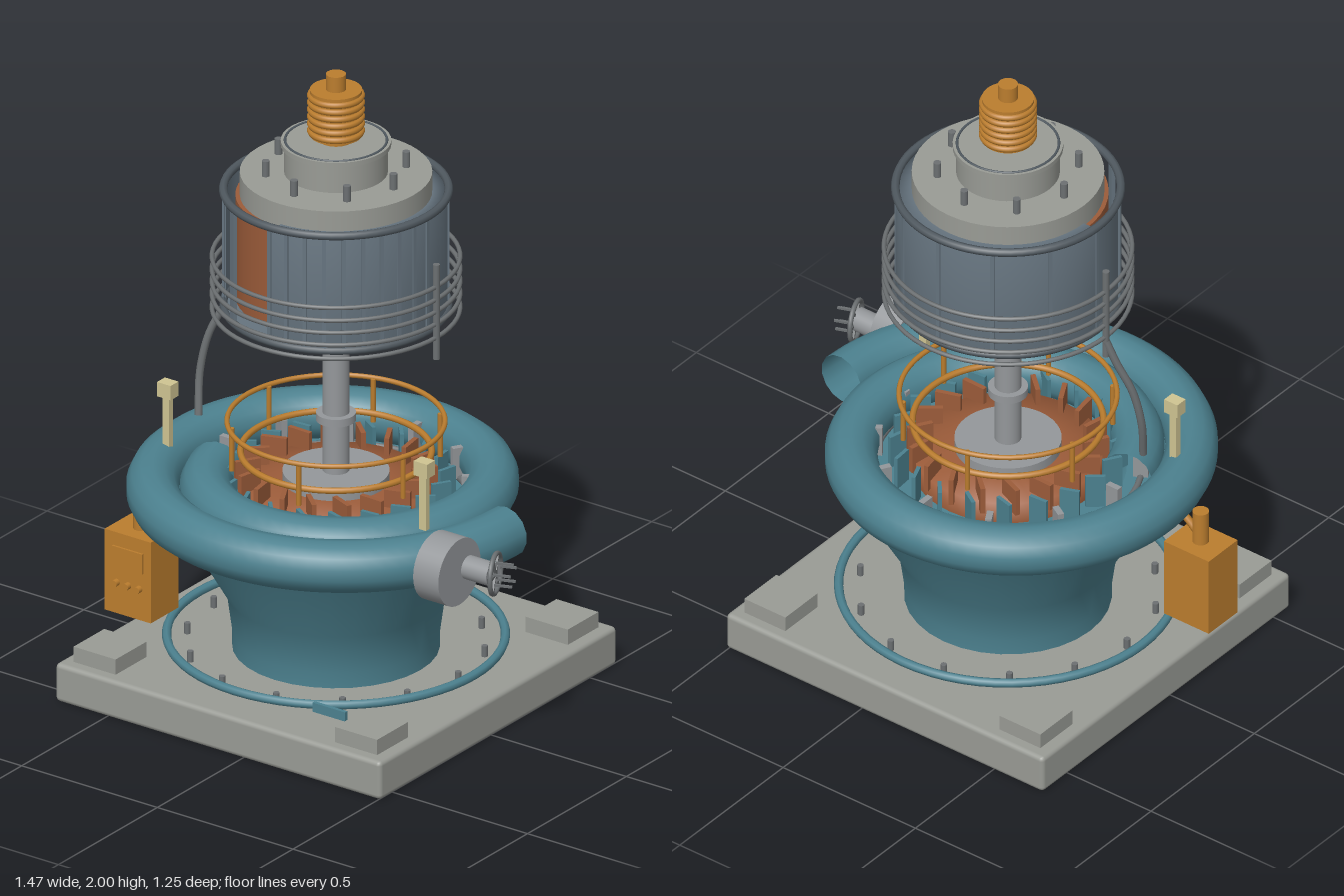
import * as THREE from 'three';
import { RoundedBoxGeometry } from 'three/addons/geometries/RoundedBoxGeometry.js';

const mat = (name, color, side = THREE.FrontSide) => {
  const m = new THREE.MeshStandardMaterial({ color, side });
  m.name = name;
  return m;
};

export function createModel() {
  const D = THREE.DoubleSide;
  const concrete = mat('concrete', 0x999b95);
  const steel = mat('steel', 0x94979a, D);
  const pipeGrey = mat('pipe grey', 0x6c7072);
  const teal = mat('teal paint', 0x4c818f, D);
  const blueGrey = mat('blue grey', 0x66747f, D);
  const rimDark = mat('dark rim', 0x505960);
  const orange = mat('orange', 0xbb7d2e);
  const copper = mat('copper', 0x9c5c3a, D);
  const beige = mat('beige', 0xcfc492);

  const model = new THREE.Group();
  const turbine = new THREE.Group(); // everything around the main axis
  turbine.name = 'turbine';
  turbine.position.set(-0.09, 0, -0.027);
  model.add(turbine);

  const add = (parent, name, geo, m, x = 0, y = 0, z = 0) => {
    const mesh = new THREE.Mesh(geo, m);
    mesh.name = name;
    mesh.position.set(x, y, z);
    parent.add(mesh);
    return mesh;
  };
  const box = (p, n, w, h, d, m, x, y, z) => add(p, n, new THREE.BoxGeometry(w, h, d), m, x, y, z);
  // vertical cylinder between two heights
  const cyl = (p, n, r, y0, y1, m, x = 0, z = 0, seg = 40) =>
    add(p, n, new THREE.CylinderGeometry(r, r, y1 - y0, seg), m, x, (y0 + y1) / 2, z);
  // horizontal ring
  const ring = (n, r, t, y, m) => {
    const g = new THREE.TorusGeometry(r, t, 8, 64);
    g.rotateX(Math.PI / 2);
    return add(turbine, n, g, m, 0, y, 0);
  };
  const lathe = (n, pts, m, seg = 40, start = 0, len = Math.PI * 2) =>
    add(turbine, n, new THREE.LatheGeometry(pts.map(p => new THREE.Vector2(...p)), seg, start, len), m);
  const tube = (p, n, pts, r, m, seg = 24) => add(p, n, new THREE.TubeGeometry(
    new THREE.CatmullRomCurve3(pts.map(q => new THREE.Vector3(...q))), seg, r, 8), m);
  const around = (count, r, fn, offset = 0) => {
    for (let i = 0; i < count; i++) {
      const a = offset + i / count * Math.PI * 2;
      fn(Math.sin(a) * r, Math.cos(a) * r, a);
    }
  };

  // Foundation slab, corner pads, floor ring
  add(turbine, 'foundation', new RoundedBoxGeometry(1.2, 0.125, 1.2, 2, 0.015), concrete, 0, 0.0625, 0);
  for (const sx of [-1, 1]) for (const sz of [-1, 1])
    box(turbine, 'cornerPad', 0.155, 0.05, 0.155, concrete, sx * 0.482, 0.15, sz * 0.482);
  ring('floorRing', 0.505, 0.014, 0.161, teal);
  around(14, 0.45, (x, z) => cyl(turbine, 'floorBolt', 0.01, 0.12, 0.16, pipeGrey, x, z, 8), Math.PI / 14);
  box(turbine, 'floorRingTail', 0.12, 0.03, 0.012, teal, 0.34, 0.185, 0.497);

  // Draft cone
  lathe('draftCone', [[0.31, 0.125], [0.31, 0.175], [0.327, 0.3], [0.49, 0.585]], teal, 32);
  lathe('casingFloor', [[0.2, 0.58], [0.5, 0.585]], teal, 48);

  // Spiral casing: one and a half turns of open pipe
  const path = [];
  for (let i = 0; i <= 60; i++) {
    const t = 0.3 + (Math.PI * 3 + 0.04 - 0.3) * i / 60;
    const r = 0.37 + 0.04 * t / (Math.PI / 2);
    path.push(new THREE.Vector3(-Math.cos(t) * r, 0.655, Math.sin(t) * r));
  }
  add(turbine, 'spiralCasing',
    new THREE.TubeGeometry(new THREE.CatmullRomCurve3(path), 110, 0.08, 14), teal);

  // Stay vanes, guide vanes and runner inside the casing
  ring('stayRing', 0.4, 0.01, 0.6, pipeGrey);
  around(12, 0.4, (x, z, a) => {
    box(turbine, 'stayVane', 0.02, 0.1, 0.045, steel, x, 0.65, z).rotation.y = a;
  });
  around(20, 0.33, (x, z, a) => {
    box(turbine, 'guideVane', 0.012, 0.11, 0.06, teal, x, 0.65, z).rotation.y = a + 0.7;
  });
  lathe('runnerBand', [[0.285, 0.59], [0.285, 0.66], [0.16, 0.67]], copper);
  around(18, 0.265, (x, z, a) => {
    box(turbine, 'runnerBlade', 0.015, 0.09, 0.08, copper, x, 0.675, z).rotation.y = a + 0.5;
  });
  cyl(turbine, 'runnerHub', 0.16, 0.58, 0.7, steel);

  // Guard rail
  ring('railTop', 0.325, 0.008, 0.86, orange);
  ring('railBottom', 0.285, 0.01, 0.762, orange);
  around(6, 0.315, (x, z) => cyl(turbine, 'railPost', 0.008, 0.72, 0.86, orange, x, z, 8), 0.27);

  // Main shaft
  cyl(turbine, 'shaft', 0.04, 0.68, 1.26, steel);
  cyl(turbine, 'shaftCollar', 0.06, 0.865, 0.89, steel);
  cyl(turbine, 'shaftFlange', 0.05, 1.21, 1.225, steel);

  // Generator: shell with a quarter cut away, copper winding behind it
  const y0 = 1.245, y1 = 1.615;
  lathe('generatorShell', [[0.285, y0], [0.335, y0], [0.335, y1], [0.285, y1]], blueGrey, 48, 0.02, Math.PI * 1.5 - 0.02);
  lathe('generatorBottom', [[0.23, y0], [0.345, y0]], blueGrey, 48);
  cyl(turbine, 'winding', 0.3, 1.27, 1.605, copper, 0, 0, 48);
  cyl(turbine, 'rotorBase', 0.235, 1.25, 1.275, copper);
  around(36, 0.334, (x, z, a) => {
    const cut = a > Math.PI * 1.5;
    if (cut && Math.round(a * 18 / Math.PI) % 3) return;
    if (!cut && a > Math.PI * 0.5 && Math.round(a * 18 / Math.PI) % 3) return;
    box(turbine, 'generatorRib', cut ? 0.025 : 0.012, y1 - y0, 0.012, blueGrey, x, (y0 + y1) / 2, z).rotation.y = a;
  });
  // solid slats closing the outer part of the cutaway
  lathe('cutawayEdge', [[0.333, y0], [0.333, y1]], blueGrey, 8, Math.PI * 1.5, 0.62);
  ring('generatorTopRim', 0.336, 0.013, 1.622, rimDark);
  ring('generatorBottomRim', 0.336, 0.012, 1.245, rimDark);

  // Cooling rings with their feeder pipes
  for (const y of [1.235, 1.28, 1.32, 1.36, 1.402]) ring('coolingRing', 0.37, 0.007, y, pipeGrey);
  for (const s of [-1, 1]) cyl(turbine, 'coolingRiser', 0.011, 1.165, 1.475, pipeGrey, s * 0.37, 0, 10);
  tube(turbine, 'coolingDrop', [[-0.37, 1.22, 0], [-0.4, 1.14, 0.015], [-0.44, 1.04, 0.04],
    [-0.458, 0.92, 0.06], [-0.445, 0.79, 0.085]], 0.012, pipeGrey);

  // Top cover, bearing housing and slip rings
  cyl(turbine, 'topCover', 0.287, 1.6, 1.68, concrete, 0, 0, 48);
  around(8, 0.212, (x, z) => cyl(turbine, 'coverBolt', 0.012, 1.67, 1.73, pipeGrey, x, z, 10));
  cyl(turbine, 'bearingHousing', 0.155, 1.68, 1.77, concrete);
  cyl(turbine, 'bearingLid', 0.165, 1.768, 1.783, concrete);
  ring('lidSeam', 0.152, 0.004, 1.783, rimDark);
  cyl(turbine, 'slipRingCore', 0.078, 1.8, 1.95, orange);
  cyl(turbine, 'slipRingNeck', 0.05, 1.78, 1.8, orange);
  for (let i = 0; i < 6; i++) ring('slipRing', 0.077, 0.01, 1.815 + i * 0.023, orange);
  cyl(turbine, 'shaftTip', 0.03, 1.95, 2, orange, 0, 0, 24);

  // Inlet valve with handwheel
  const valve = new THREE.Group();
  valve.name = 'inletValve';
  model.add(valve);
  const across = (n, r, x0, x1, z, m) => {
    const c = cyl(valve, n, r, 0, x1 - x0, m, 0, z, 32);
    c.rotation.z = Math.PI / 2;
    c.position.set((x0 + x1) / 2, 0.655, z);
  };
  across('valveBody', 0.107, 0.485, 0.578, 0.265, steel);
  across('valveStem', 0.037, 0.578, 0.67, 0.22, steel);
  const wheel = new THREE.Group();
  wheel.name = 'handwheel';
  wheel.position.set(0.67, 0.655, 0.21);
  wheel.rotation.y = Math.PI / 2 + 0.36;
  valve.add(wheel);
  add(wheel, 'wheelRim', new THREE.TorusGeometry(0.062, 0.008, 8, 28), pipeGrey);
  for (let i = 0; i < 3; i++)
    box(wheel, 'wheelSpoke', 0.12, 0.008, 0.008, pipeGrey, 0, 0, 0).rotation.z = i * Math.PI / 3;
  around(5, 0.035, (x, y) => box(wheel, 'wheelPin', 0.007, 0.007, 0.055, pipeGrey, x, y, 0.03));

  // Control cabinet
  const cabinet = new THREE.Group();
  cabinet.name = 'controlCabinet';
  model.add(cabinet);
  box(cabinet, 'cabinetBody', 0.17, 0.265, 0.14, orange, -0.645, 0.3075, 0.195);
  box(cabinet, 'cabinetScreen', 0.112, 0.066, 0.008, orange, -0.643, 0.363, 0.268);
  for (const x of [-0.685, -0.643, -0.602])
    add(cabinet, 'cabinetKnob', new THREE.CylinderGeometry(0.011, 0.011, 0.02, 16).rotateX(Math.PI / 2), orange, x, 0.277, 0.272);
  cyl(cabinet, 'cabinetPost', 0.025, 0.44, 0.55, orange, -0.645, 0.195, 20);
  tube(cabinet, 'cabinetConduit', [[-0.64, 0.46, 0.195], [-0.59, 0.51, 0.19], [-0.5, 0.58, 0.17]], 0.012, orange);

  // Sensor posts
  for (const x of [-0.563, 0.383]) {
    box(model, 'sensorHead', 0.05, 0.047, 0.04, beige, x, 0.911, 0.175);
    box(model, 'sensorPost', 0.025, 0.18, 0.02, beige, x, 0.8, 0.175);
  }
  return model;
}
